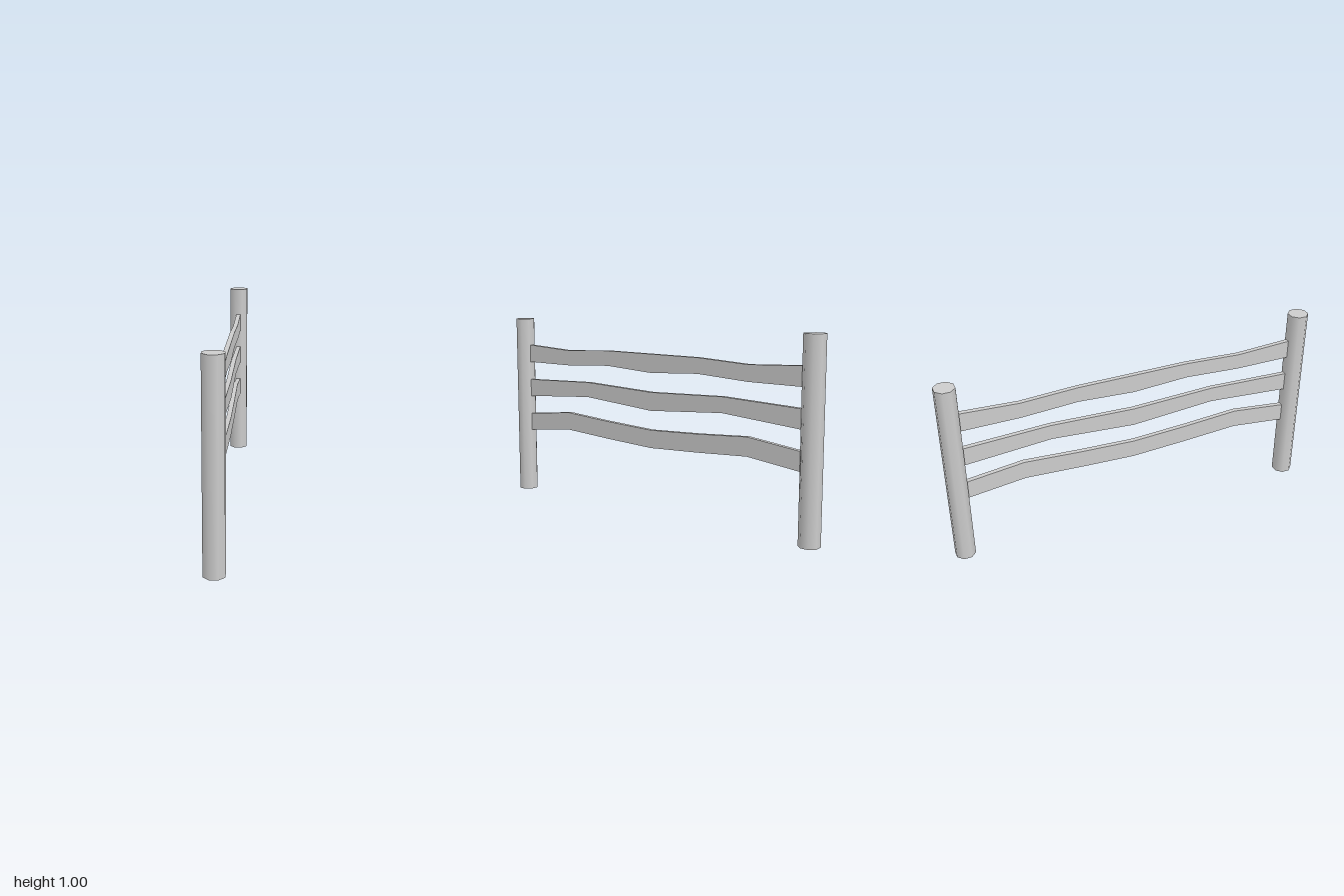
import * as THREE from 'three';

const POST_Z = 0.95;
const RAIL_THICKNESS = 0.025;

// Half profiles from the middle to the post: [z, y]
const RAILS = [
  {
    name: 'topRail',
    upper: [[0, 0.85], [0.3, 0.85], [0.6, 0.835], [0.9, 0.85]],
    lower: [[0, 0.752], [0.3, 0.769], [0.6, 0.752], [0.9, 0.752]],
  },
  {
    name: 'middleRail',
    upper: [[0, 0.65], [0.45, 0.667], [0.9, 0.65]],
    lower: [[0, 0.553], [0.45, 0.586], [0.9, 0.553]],
  },
  {
    name: 'bottomRail',
    upper: [[0, 0.45], [0.3, 0.464], [0.6, 0.484], [0.9, 0.45]],
    lower: [[0, 0.355], [0.3, 0.369], [0.6, 0.387], [0.9, 0.353]],
  },
];

// Full edge from -z to +z out of a half profile
function mirrored(half) {
  const left = half.slice(1).reverse().map(([z, y]) => [-z, y]);
  return [...left, ...half];
}

function createRail({ name, upper, lower }, material) {
  const outline = [...mirrored(lower), ...mirrored(upper).reverse()];
  const shape = new THREE.Shape(outline.map(([z, y]) => new THREE.Vector2(z, y)));
  const geometry = new THREE.ExtrudeGeometry(shape, { depth: RAIL_THICKNESS, bevelEnabled: false });
  geometry.translate(0, 0, -RAIL_THICKNESS / 2);
  geometry.rotateY(-Math.PI / 2);
  const rail = new THREE.Mesh(geometry, material);
  rail.name = name;
  return rail;
}

// Eight-sided post with flats facing the axes, 0.1 across
function createPost(name, z, material) {
  const radius = 0.05 / Math.cos(Math.PI / 8);
  const geometry = new THREE.CylinderGeometry(radius, radius, 1, 8);
  geometry.rotateY(Math.PI / 8);
  const post = new THREE.Mesh(geometry, material);
  post.name = name;
  post.position.set(0, 0.5, z);
  return post;
}

export function createModel() {
  const material = new THREE.MeshStandardMaterial({ color: 0xcccccc });
  material.name = 'light grey';

  const fence = new THREE.Group();
  fence.name = 'fence';
  fence.add(createPost('frontPost', POST_Z, material));
  fence.add(createPost('backPost', -POST_Z, material));
  for (const rail of RAILS) fence.add(createRail(rail, material));
  return fence;
}
